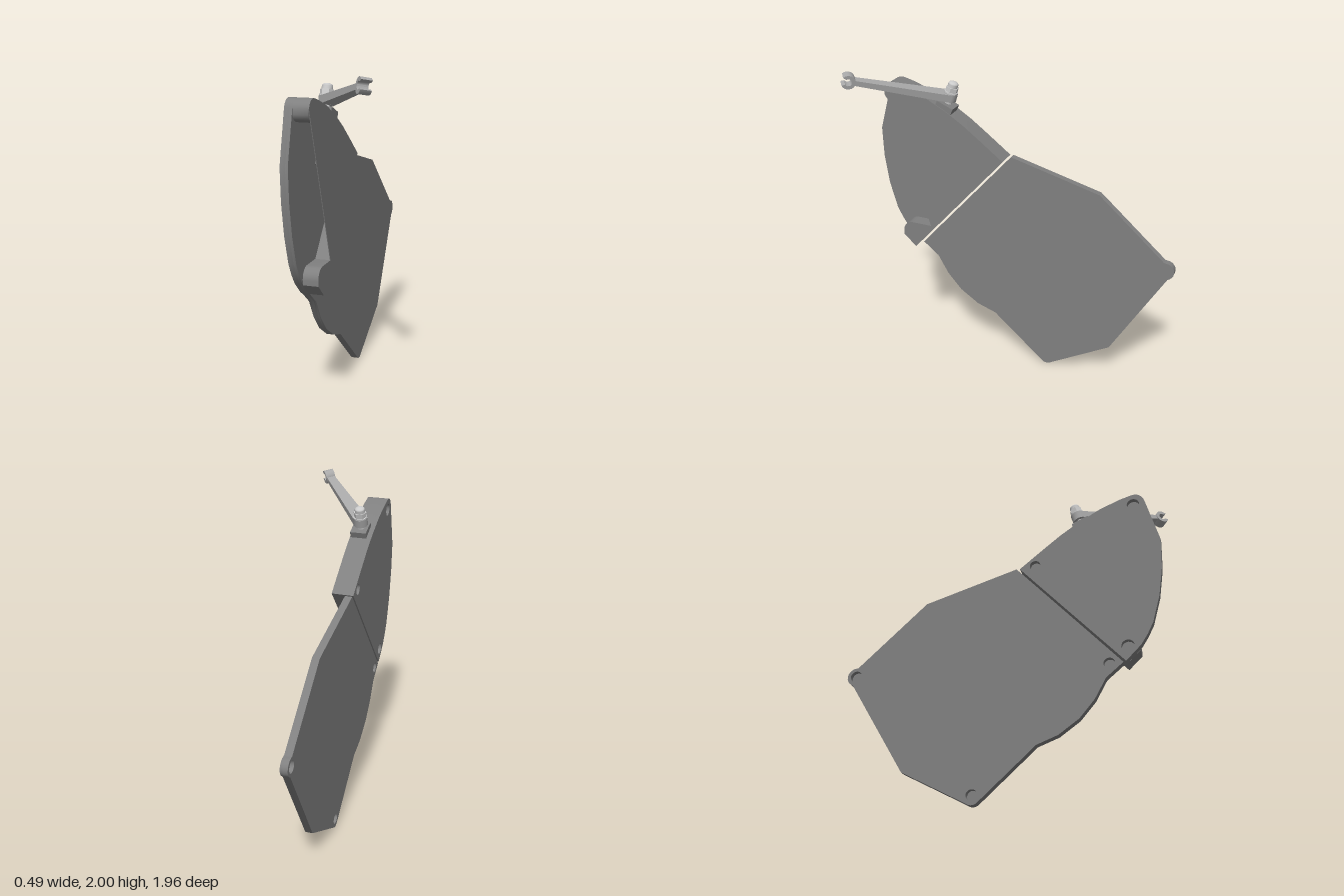
import * as THREE from 'three';
import { toCreasedNormals } from 'three/addons/utils/BufferGeometryUtils.js';

const shellMaterial = new THREE.MeshStandardMaterial({ color: 0x808080 });
const leverMaterial = new THREE.MeshStandardMaterial({ color: 0xa8a8a8 });
const boltMaterial = new THREE.MeshStandardMaterial({ color: 0xcccccc });

// Points of an arc, angles in degrees
function arc(cx, cy, r, from, to, n = 8) {
  const pts = [];
  for (let i = 0; i <= n; i++) {
    const a = THREE.MathUtils.degToRad(from + (to - from) * i / n);
    pts.push([cx + r * Math.cos(a), cy + r * Math.sin(a)]);
  }
  return pts;
}

// Extrude a (z, y) outline along x, between x0 and x1
function slab(name, outline, x0, x1, holes = [], material = shellMaterial) {
  const shape = new THREE.Shape(outline.map(p => new THREE.Vector2(p[0], p[1])));
  for (const [z, y, r] of holes) {
    const path = new THREE.Path();
    path.absarc(z, y, r, 0, Math.PI * 2, true);
    shape.holes.push(path);
  }
  const geo = new THREE.ExtrudeGeometry(shape, { depth: x1 - x0, bevelEnabled: false, curveSegments: 10 });
  geo.rotateY(-Math.PI / 2).translate(x1, 0, 0);
  const mesh = new THREE.Mesh(toCreasedNormals(geo, 0.65), material);
  mesh.name = name;
  return mesh;
}

// Plate with blind round holes in its outer (-x) face
function drilledPlate(name, outline, holes) {
  const group = new THREE.Group();
  group.name = name;
  group.add(
    slab(name + 'Face', outline, -0.215, -0.2),
    slab(name + 'Back', outline, -0.245, -0.215, holes)
  );
  return group;
}

function cylinder(name, radius, y0, y1, sides, material) {
  const geo = new THREE.CylinderGeometry(radius, radius, y1 - y0, sides);
  geo.translate(0, (y0 + y1) / 2, 0);
  const mesh = new THREE.Mesh(toCreasedNormals(geo, 0.65), material);
  mesh.name = name;
  return mesh;
}

// Swinging lever: local y is the bolt axis, local z runs along the arm
function makeLever() {
  const lever = new THREE.Group();
  lever.name = 'lever';
  const length = 0.62;

  // Tapered arm
  const armGeo = new THREE.BoxGeometry(1, 1, length - 0.03);
  armGeo.translate(0, 0, (length - 0.03) / 2);
  const pos = armGeo.attributes.position;
  for (let i = 0; i < pos.count; i++) {
    const t = pos.getZ(i) / length;
    pos.setX(i, pos.getX(i) * (0.085 - 0.035 * t));
    pos.setY(i, pos.getY(i) * (0.048 - 0.018 * t));
  }
  armGeo.computeVertexNormals();
  const arm = new THREE.Mesh(armGeo, leverMaterial);
  arm.name = 'leverArm';

  // Open claw at the tip, facing outward
  const claw = slab('leverClaw',
    [...arc(0, 0, 0.043, 35, 325, 16), ...arc(0, 0, 0.022, 315, 45, 12)], -0.03, 0.03, [], leverMaterial);
  claw.position.z = length;

  // Bolt head
  const dome = new THREE.Mesh(
    new THREE.SphereGeometry(0.031, 16, 6, 0, Math.PI * 2, 0, Math.PI / 2), boltMaterial);
  dome.name = 'boltDome';
  dome.scale.y = 0.5;
  dome.position.y = 0.083;
  lever.add(arm, claw, dome,
    cylinder('armEye', 0.043, -0.024, 0.026, 20, leverMaterial),
    cylinder('washer', 0.042, 0.026, 0.034, 20, boltMaterial),
    cylinder('nut', 0.039, 0.034, 0.064, 6, boltMaterial),
    cylinder('boltTip', 0.031, 0.064, 0.083, 16, boltMaterial),
    cylinder('boltShank', 0.024, -0.11, -0.024, 16, boltMaterial),
    cylinder('boltSocket', 0.03, -0.35, -0.1, 16, shellMaterial));

  const y = new THREE.Vector3(0, 0.952, -0.305).normalize();
  const z = new THREE.Vector3(0.37, 0.152, 0.475).normalize();
  const x = new THREE.Vector3().crossVectors(y, z);
  lever.quaternion.setFromRotationMatrix(new THREE.Matrix4().makeBasis(x, y, z));
  lever.position.set(-0.17, 1.8, 0.455);
  return lever;
}

export function createModel() {
  const model = new THREE.Group();
  model.name = 'hingedCover';

  // Upper plate: rounded top corner, curved crown, straight cut along the joint
  const crown = [...arc(0.807, 1.802, 0.063, 15, 110, 7),
    [0.72, 1.842], [0.6, 1.795], [0.455, 1.715], [0.35, 1.645], [0.24, 1.56], [0.095, 1.445]];
  const upper = [...crown, [0.705, 0.768], [0.795, 0.858], [0.835, 0.92], [0.87, 0.99],
    [0.916, 1.155], [0.943, 1.34], [0.948, 1.53]];
  model.add(drilledPlate('upperPlate', upper,
    [[0.8, 1.795, 0.038], [0.19, 1.455, 0.033], [0.72, 0.86, 0.038]]));

  // Hollow housing, open at the front: joint wall, crown wall and three corner bosses
  const lowerBoss = [[0.705, 0.768], [0.784, 0.845], ...arc(0.72, 0.875, 0.065, 0, 90, 8), [0.59, 0.935]];
  const cavity = [[0.235, 1.33], ...arc(0.185, 1.4, 0.06, -40, 90, 8), [0.185, 1.485],
    [0.24, 1.525], [0.35, 1.61], [0.455, 1.68], [0.6, 1.758], [0.72, 1.803],
    ...arc(0.807, 1.802, 0.063, 190, 345, 10)];
  model.add(slab('housingWalls', [...crown, ...lowerBoss, ...cavity], -0.2, -0.114));
  model.add(slab('housingCover', [...crown, ...lowerBoss], -0.114, -0.11));

  // Lower flat plate with a rounded ear at the back
  const lower = [[0.075, 1.447], [-0.49, 1.282], [-0.91, 0.9],
    ...arc(-0.92, 0.842, 0.056, 95, 250, 10),
    [-0.6, 0.222], [-0.217, 0.016], ...arc(-0.182, 0.053, 0.05, 245, 320, 6),
    [0.185, 0.318], [0.31, 0.365], [0.43, 0.45], [0.52, 0.556], [0.588, 0.678], [0.69, 0.763]];
  model.add(drilledPlate('lowerPlate', lower,
    [[0.61, 0.765, 0.033], [-0.92, 0.842, 0.036], [-0.182, 0.06, 0.033]]));

  // Sloped mounting pad under the lever
  const pad = new THREE.Mesh(new THREE.BoxGeometry(0.1, 0.04, 0.11), shellMaterial);
  pad.name = 'leverPad';
  pad.position.set(-0.165, 1.74, 0.475);
  pad.rotation.x = -0.42;
  model.add(pad, makeLever());
  return model;
}
